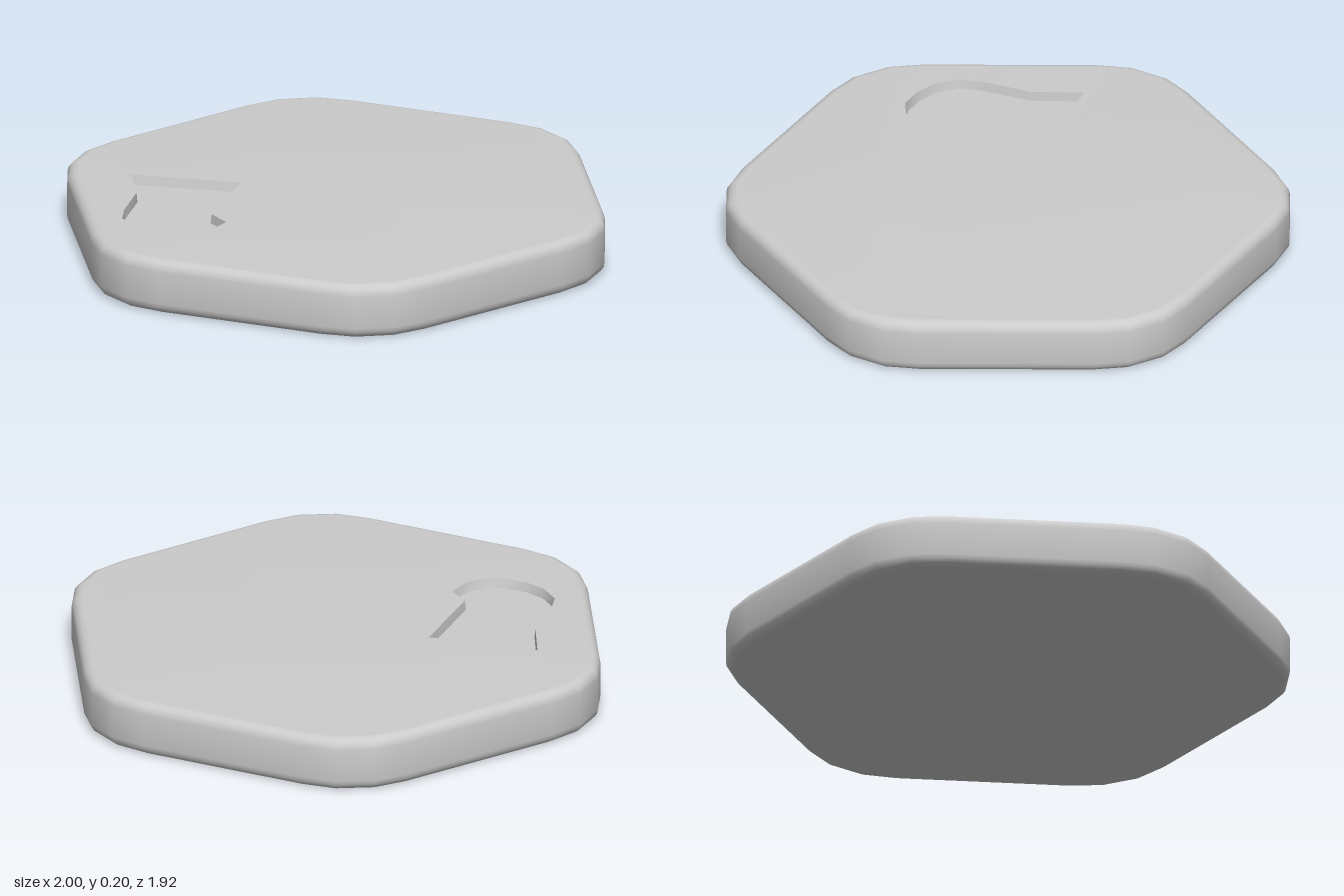
import * as THREE from 'three';
import { mergeGeometries, toCreasedNormals } from 'three/addons/utils/BufferGeometryUtils.js';

const HEIGHT = 0.2, BEVEL = 0.04, POCKET_DEPTH = 0.035;

// Hexagon outline with faceted round corners, shrunk by inset
function hexRing(inset, y) {
  const ring = [];
  for (let corner = 0; corner < 6; corner++) {
    for (const [offset, radius] of [[-11.2, 0.972], [-4, 1.003], [4, 1.003], [11.2, 0.972]]) {
      const a = THREE.MathUtils.degToRad(-9.2 + corner * 60 + offset);
      ring.push(new THREE.Vector3(Math.cos(a) * (radius - inset), y, Math.sin(a) * (radius - inset)));
    }
  }
  return ring;
}

// Joins a stack of equal rings with quads
function loft(rings) {
  const points = [];
  for (let r = 0; r < rings.length - 1; r++) {
    const low = rings[r], high = rings[r + 1];
    low.forEach((a, i) => {
      const j = (i + 1) % low.length;
      points.push(a, high[i], low[j], high[i], high[j], low[j]);
    });
  }
  return new THREE.BufferGeometry().setFromPoints(points);
}

// Flat face filling a ring, facing up or down
function cap(ring, up = true, hole = null) {
  const flat = (points) => points.map((p) => new THREE.Vector2(p.x, up ? -p.z : p.z));
  const shape = new THREE.Shape(flat(ring));
  if (hole) shape.holes.push(new THREE.Path(flat(hole)));
  const geometry = new THREE.ShapeGeometry(shape).toNonIndexed();
  geometry.deleteAttribute('uv');
  geometry.deleteAttribute('normal');
  return geometry.rotateX(up ? -Math.PI / 2 : Math.PI / 2).translate(0, ring[0].y, 0);
}

function makeMesh(name, parts) {
  const geometry = toCreasedNormals(mergeGeometries(parts), 0.6);
  const mesh = new THREE.Mesh(geometry, new THREE.MeshStandardMaterial({ color: 0xcccccc }));
  mesh.name = name;
  return mesh;
}

export function createModel() {
  const group = new THREE.Group();
  group.name = 'hexagonalTile';

  // Pocket outline: flared straight end, narrow neck and rounded end
  const rim = [
    [-0.71, 0.235], [-0.33, 0.105], [-0.25, 0.44], [-0.165, 0.48], [-0.165, 0.58], [-0.2, 0.635],
    [-0.25, 0.68], [-0.34, 0.695], [-0.42, 0.685], [-0.5, 0.64], [-0.54, 0.56], [-0.595, 0.385],
  ].map(([x, z]) => new THREE.Vector3(x, HEIGHT, z));
  const centre = new THREE.Vector3(-0.42, HEIGHT, 0.42);
  const floor = rim.map((p) => p.clone().lerp(centre, 0.025).setY(HEIGHT - POCKET_DEPTH));

  // Slab edge: rounded below and above, with a narrow flat border
  const rings = [hexRing(BEVEL + 0.004, 0)];
  for (const top of [0, 1]) {
    for (let i = 0; i <= 4; i++) {
      const a = ((top ? i : 4 - i) / 4) * Math.PI / 2;
      const rise = BEVEL * (1 - Math.sin(a));
      rings.push(hexRing(BEVEL * (1 - Math.cos(a)), top ? HEIGHT - rise : rise));
    }
  }
  rings.push(hexRing(BEVEL + 0.004, HEIGHT));

  group.add(makeMesh('slab', [loft(rings), cap(rings[0], false), cap(rings.at(-1), true, rim)]));
  group.add(makeMesh('pocket', [loft([rim, floor]), cap(floor)]));
  return group;
}
